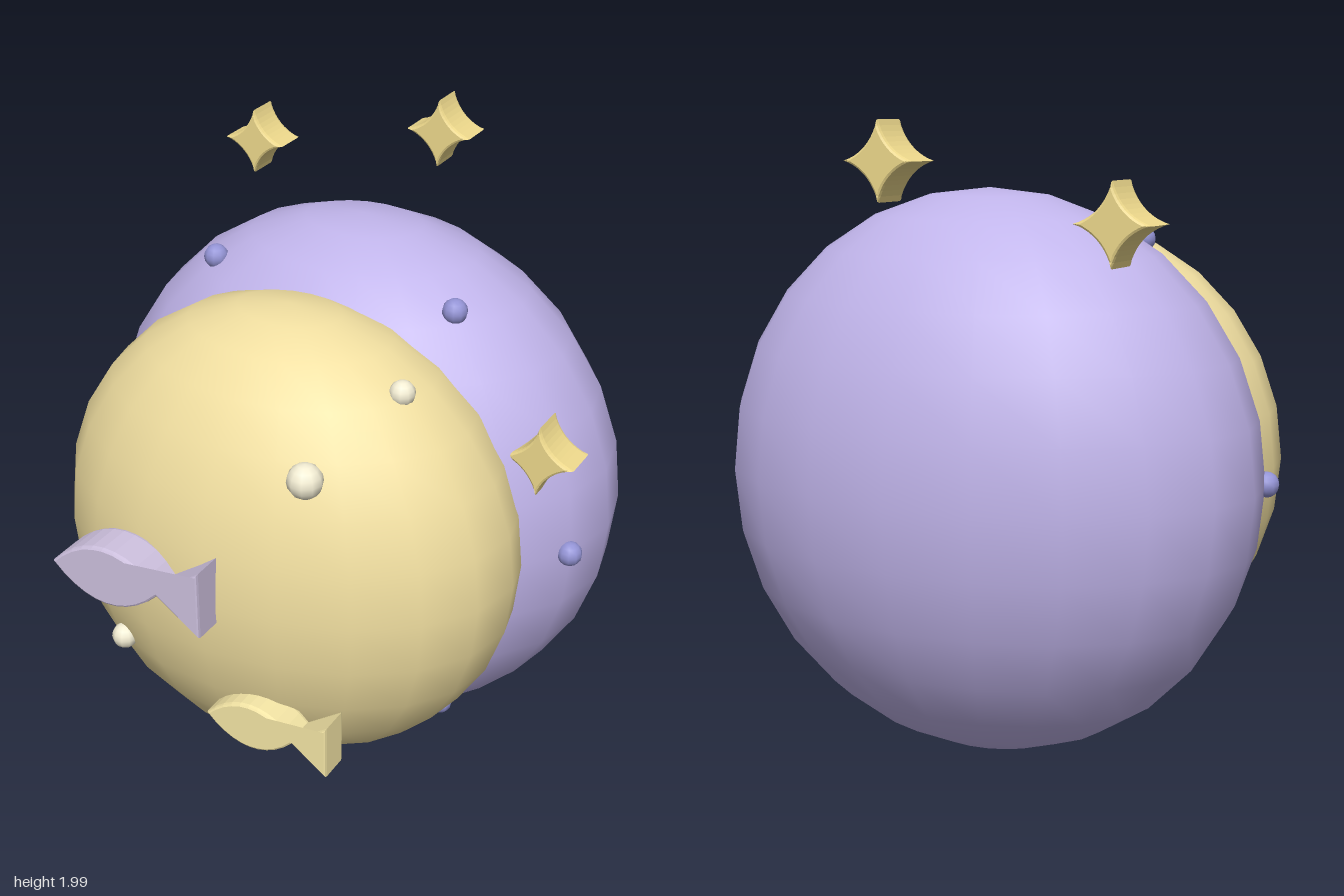
import * as THREE from 'three';

const mat = (color) => new THREE.MeshStandardMaterial({ color });

export function createModel() {
  const model = new THREE.Group();
  const add = (name, geometry, material, x, y, z) => {
    const mesh = new THREE.Mesh(geometry, material);
    mesh.name = name;
    mesh.position.set(x, y, z);
    model.add(mesh);
    return mesh;
  };

  // Rounded-edge plate cut from an outline, centred in depth
  const plate = (shape, depth) => {
    const bevel = 0.012;
    const g = new THREE.ExtrudeGeometry(shape, {
      depth: depth - 2 * bevel, bevelEnabled: true, bevelThickness: bevel,
      bevelSize: 0.008, bevelOffset: -0.008, bevelSegments: 2, curveSegments: 10,
    });
    return g.translate(0, 0, bevel - depth / 2);
  };

  // Two flattened shells that overlap
  const ball = new THREE.SphereGeometry(1, 20, 14);
  add('backShell', ball, mat(0xc0b4ea), 0, 0.9, -0.23).scale.set(0.89, 0.89, 0.64);
  add('frontShell', ball, mat(0xf0dea0), 0, 0.9, 0.24).scale.set(0.77, 0.77, 0.54);

  // Ring of six studs near the seam
  const stud = new THREE.SphereGeometry(0.04, 10, 8);
  const studMat = mat(0x9494d6);
  for (let i = 0; i < 6; i++) {
    const a = (i * Math.PI) / 3;
    add('rimStud', stud, studMat, 0.845 * Math.cos(a), 0.9 + 0.845 * Math.sin(a), -0.02);
  }

  // Pearls on the front shell
  const pearlMat = mat(0xf4eed4);
  for (const [x, y, z, r] of [[0.28, 1.34, 0.64, 0.055], [0.43, 1.52, 0.335, 0.04], [-0.375, 0.59, 0.66, 0.042]]) {
    add('pearl', new THREE.SphereGeometry(r, 10, 8), pearlMat, x, y, z);
  }

  // Four-pointed stars with concave sides
  const star = new THREE.Shape();
  const R = 0.115, c = 0.026;
  star.moveTo(R, 0);
  star.quadraticCurveTo(c, c, 0, R);
  star.quadraticCurveTo(-c, c, -R, 0);
  star.quadraticCurveTo(-c, -c, 0, -R);
  star.quadraticCurveTo(c, -c, R, 0);
  const starGeo = plate(star, 0.13);
  const starMat = mat(0xeed98c);
  for (const [x, y, z] of [[0, 1.885, -0.805], [-0.72, 1.73, -0.805], [0.76, 1.255, 0.025]]) {
    add('star', starGeo, starMat, x, y, z);
  }

  // Fish plates: pointed oval body and triangular tail
  const fish = (length, depth) => {
    const s = length / 0.52;
    const shape = new THREE.Shape();
    shape.moveTo(-0.26 * s, 0);
    shape.bezierCurveTo(-0.14 * s, -0.13 * s, 0.0, -0.13 * s, 0.115 * s, -0.01 * s);
    shape.lineTo(0.26 * s, -0.112 * s);
    shape.lineTo(0.26 * s, 0.112 * s);
    shape.lineTo(0.115 * s, 0.01 * s);
    shape.bezierCurveTo(0.0, 0.13 * s, -0.14 * s, 0.13 * s, -0.26 * s, 0);
    return plate(shape, depth);
  };
  add('upperFish', fish(0.52, 0.13), mat(0xcdc0de), -0.212, 0.962, 0.805);
  add('lowerFish', fish(0.42, 0.11), mat(0xf5e6a6), 0.21, 0.5, 0.72);

  return model;
}
